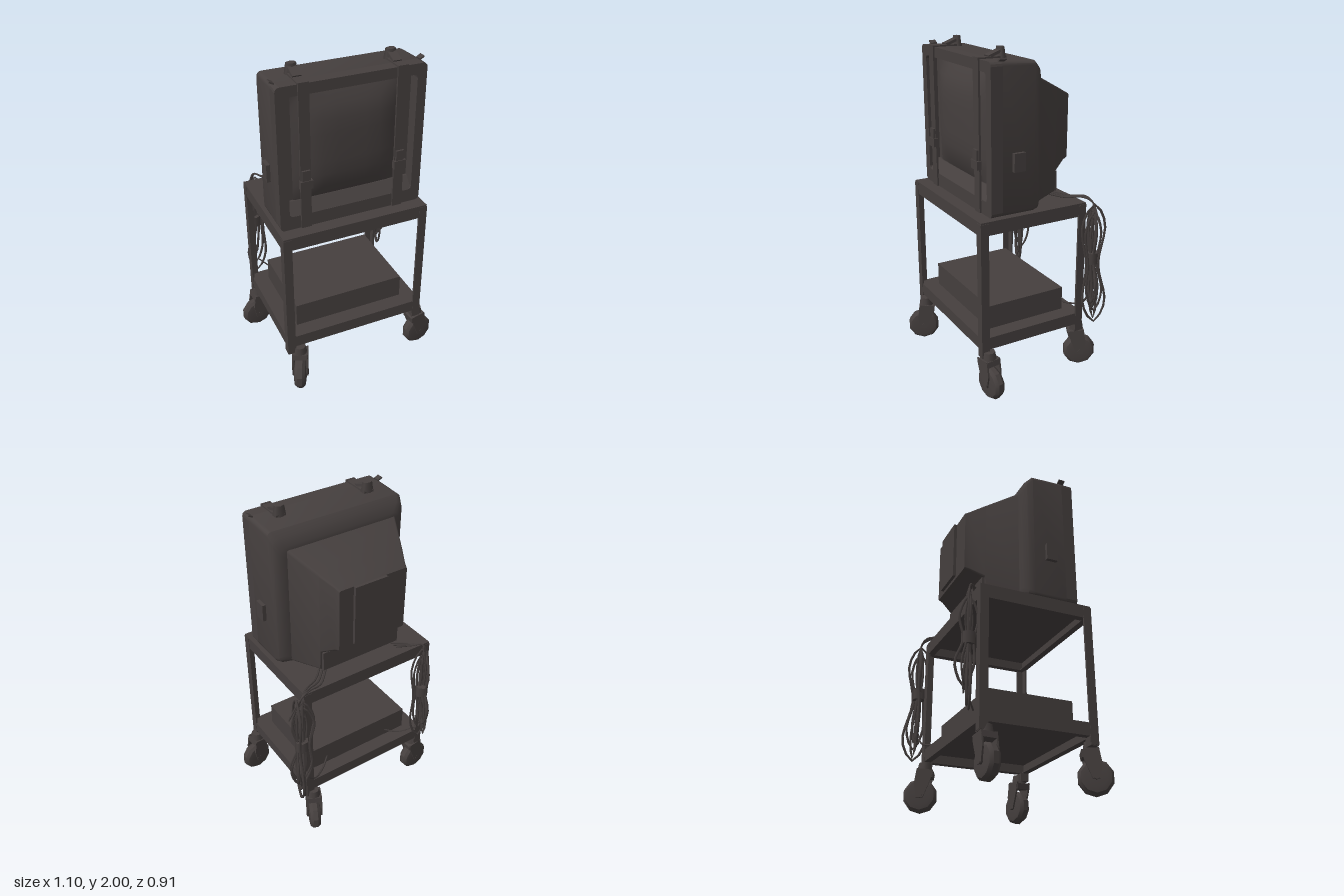
import * as THREE from 'three';
import { toCreasedNormals } from 'three/addons/utils/BufferGeometryUtils.js';

const mat = new THREE.MeshStandardMaterial({ color: 0x453f3e });
mat.name = 'dark grey';
const openMat = new THREE.MeshStandardMaterial({ color: 0x453f3e, side: THREE.DoubleSide });
openMat.name = 'dark grey';

function add(parent, name, geo, x = 0, y = 0, z = 0, material = mat) {
  const m = new THREE.Mesh(geo, material);
  m.name = name;
  m.position.set(x, y, z);
  parent.add(m);
  return m;
}

// Box given by its ranges on each axis
function span(parent, name, x0, x1, y0, y1, z0, z1) {
  return add(parent, name, new THREE.BoxGeometry(x1 - x0, y1 - y0, z1 - z0),
    (x0 + x1) / 2, (y0 + y1) / 2, (z0 + z1) / 2);
}

// Rounded rectangle, counter-clockwise
function section(hw, y0, y1, r) {
  const pts = [];
  [[hw - r, y0 + r, -1], [hw - r, y1 - r, 0], [-hw + r, y1 - r, 1], [-hw + r, y0 + r, 2]].forEach(([x, y, q]) => {
    for (let i = 0; i <= 3; i++) {
      const a = (q + i / 3) * Math.PI / 2;
      pts.push(new THREE.Vector2(x + r * Math.cos(a), y + r * Math.sin(a)));
    }
  });
  return pts;
}

// Closed skin through sections [z, halfWidth, bottom, top, radius], front to back
function loft(rings) {
  const pos = [], idx = [], n = 16;
  rings.forEach(([z, hw, y0, y1, r]) => section(hw, y0, y1, r).forEach(p => pos.push(p.x, p.y, z)));
  for (let i = 0; i < rings.length - 1; i++) {
    for (let j = 0; j < n; j++) {
      const a = i * n + j, b = i * n + (j + 1) % n, c = b + n, d = a + n;
      idx.push(a, d, b, b, d, c);
    }
  }
  const last = (rings.length - 1) * n;
  for (let j = 1; j < n - 1; j++) idx.push(0, j, j + 1, last, last + j + 1, last + j);
  const g = new THREE.BufferGeometry();
  g.setAttribute('position', new THREE.Float32BufferAttribute(pos, 3));
  g.setIndex(idx);
  return toCreasedNormals(g, 0.6);
}

function cable(parent, name, pts, closed = false, r = 0.006) {
  const curve = new THREE.CatmullRomCurve3(pts.map(p => new THREE.Vector3(...p)), closed);
  return add(parent, name, new THREE.TubeGeometry(curve, closed ? 28 : 14, r, 4, closed));
}

// Shelf: rim on four sides with a plate set near the top
function shelf(parent, name, y0, y1) {
  const g = new THREE.Group();
  g.name = name;
  const X = 0.445, Z = 0.345, t = 0.015;
  for (const s of [-1, 1]) {
    add(g, 'longRim', new THREE.BoxGeometry(2 * X, y1 - y0, t), 0, (y0 + y1) / 2, s * (Z - t / 2));
    add(g, 'sideRim', new THREE.BoxGeometry(t, y1 - y0, 2 * Z), s * (X - t / 2), (y0 + y1) / 2, 0);
    add(g, 'longLip', new THREE.BoxGeometry(2 * X, 0.008, 0.04), 0, y0 + 0.004, s * (Z - 0.02));
    add(g, 'sideLip', new THREE.BoxGeometry(0.04, 0.008, 2 * Z), s * (X - 0.02), y0 + 0.004, 0);
  }
  add(g, 'shelfPlate', new THREE.BoxGeometry(2 * X, 0.015, 2 * Z), 0, y1 - 0.0075, 0);
  parent.add(g);
}

// Caster whose wheel rolls along its own x
function caster(parent, x, z, heading) {
  const g = new THREE.Group();
  g.name = 'caster';
  const wheel = add(g, 'wheel', toCreasedNormals(new THREE.LatheGeometry([
    [0, -0.032], [0.06, -0.036], [0.085, -0.032], [0.1, -0.014], [0.1, 0.014],
    [0.085, 0.032], [0.06, 0.036], [0, 0.032]].map(p => new THREE.Vector2(...p)), 10), 0.6), 0, 0.105, 0, openMat);
  wheel.rotation.x = Math.PI / 2;
  const fork = new THREE.Shape([[-0.075, 0.25], [-0.06, 0.19], [-0.02, 0.09], [0.02, 0.09], [0.035, 0.17],
    [0.02, 0.26]].map(p => new THREE.Vector2(...p)));
  for (const s of [-1, 1]) {
    add(g, 'forkArm', new THREE.ExtrudeGeometry(fork, { depth: 0.01, bevelEnabled: false }), 0, 0, s * 0.043 - 0.005);
  }
  const hood = add(g, 'forkHood', new THREE.BoxGeometry(0.1, 0.035, 0.09), -0.025, 0.232, 0);
  hood.rotation.z = 0.15;
  add(g, 'swivel', new THREE.CylinderGeometry(0.035, 0.045, 0.06, 8), -0.02, 0.27, 0);
  add(g, 'axle', new THREE.CylinderGeometry(0.018, 0.018, 0.1, 6), 0, 0.105, 0).rotation.x = Math.PI / 2;
  g.position.set(x, 0, z);
  g.rotation.y = heading;
  parent.add(g);
}

// Hanging coil: long loops pinched by a wrap at mid height
function coil(parent, name, x, z, top, bottom, yaw, spread, count) {
  const g = new THREE.Group();
  g.name = name;
  for (let i = 0; i < count; i++) {
    const k = Math.sin(i * 2.4 + 1), a = yaw + k * 0.9, w = spread * (0.55 + 0.45 * Math.cos(i * 1.7));
    const hi = top - 0.07 * Math.abs(Math.sin(i * 1.3)), lo = bottom + 0.13 * Math.abs(Math.sin(i * 1.9));
    const off = 0.02 * Math.cos(i * 2.1), mid = (hi + lo) / 2;
    const p = (d, y, e = 0) => [x + Math.cos(a) * (d + e) + off, y, z - Math.sin(a) * (d + e) + off * 0.5];
    cable(g, 'cableLoop', [p(0, hi), p(w, hi - 0.12), p(w * 0.55, mid), p(w, lo + 0.12, 0.02), p(0, lo, 0.025),
      p(-w, lo + 0.12, 0.02), p(-w * 0.55, mid), p(-w, hi - 0.12)], true, 0.0075);
  }
  add(g, 'cableWrap', new THREE.CylinderGeometry(0.04, 0.04, 0.07, 7), x, (top + bottom) / 2 + 0.04, z);
  parent.add(g);
}

export function createModel() {
  const root = new THREE.Group();
  root.name = 'televisionCart';
  const main = new THREE.Group();
  main.name = 'cartAndTelevision';
  main.position.set(-0.05, 0, 0.03);
  main.rotation.y = -0.08;
  root.add(main);

  // Cart
  shelf(main, 'topShelf', 1.015, 1.095);
  shelf(main, 'lowerShelf', 0.31, 0.385);
  for (const sx of [-1, 1]) for (const sz of [-1, 1]) {
    add(main, 'legFrontFlange', new THREE.BoxGeometry(0.05, 0.82, 0.012), sx * 0.422, 0.675, sz * 0.341);
    add(main, 'legSideFlange', new THREE.BoxGeometry(0.012, 0.82, 0.05), sx * 0.441, 0.675, sz * 0.322);
    add(main, 'legFoot', new THREE.BoxGeometry(0.05, 0.05, 0.05), sx * 0.42, 0.285, sz * 0.32);
  }
  span(main, 'playerBox', -0.35, 0.35, 0.385, 0.53, -0.26, 0.25);

  // Casters, each swivelled its own way
  caster(root, -0.455, 0.355, -2.1);
  caster(root, 0.39, 0.365, 0.05);
  caster(root, -0.46, -0.3, Math.PI);
  caster(root, 0.385, -0.295, 1.05);

  // Television housing
  const tv = new THREE.Group();
  tv.name = 'television';
  main.add(tv);
  add(tv, 'frontHousing', loft([[0.2, 0.43, 1.1, 1.945, 0.025], [0, 0.43, 1.1, 1.935, 0.025],
    [-0.035, 0.42, 1.1, 1.905, 0.04], [-0.06, 0.39, 1.11, 1.86, 0.05], [-0.065, 0.35, 1.11, 1.84, 0.05]]));
  add(tv, 'rearHousing', loft([[-0.04, 0.365, 1.11, 1.85, 0.015], [-0.24, 0.272, 1.13, 1.752, 0.012],
    [-0.245, 0.27, 1.25, 1.75, 0.012], [-0.325, 0.23, 1.3, 1.71, 0.01], [-0.355, 0.22, 1.31, 1.695, 0.01]]));
  span(tv, 'rearBase', -0.26, 0.26, 1.13, 1.25, -0.26, -0.2);
  span(tv, 'rearPanel', -0.08, 0.13, 1.33, 1.695, -0.373, -0.35);

  // Bezel around the screen
  const bezel = new THREE.Shape(section(0.43, 1.1, 1.945, 0.025));
  bezel.holes.push(new THREE.Path(section(0.375, 1.18, 1.885, 0.02).reverse()));
  add(tv, 'bezel', new THREE.ExtrudeGeometry(bezel, { depth: 0.07, bevelEnabled: false }), 0, 0, 0.2);
  const ramp = new THREE.Shape([[0.2, 1.17], [0.268, 1.17], [0.268, 1.18], [0.215, 1.245], [0.2, 1.245]]
    .map(p => new THREE.Vector2(-p[0], p[1])).reverse());
  const sill = add(tv, 'lowerSill', new THREE.ExtrudeGeometry(ramp, { depth: 0.75, bevelEnabled: false }), -0.375, 0, 0);
  sill.rotation.y = Math.PI / 2;

  // Bulging screen
  const glass = new THREE.PlaneGeometry(0.66, 0.64, 8, 8), gp = glass.attributes.position;
  for (let i = 0; i < gp.count; i++) {
    const u = gp.getX(i) / 0.33, v = gp.getY(i) / 0.32;
    gp.setZ(i, 0.062 * (1 - u ** 4) * (1 - v ** 4));
  }
  glass.computeVertexNormals();
  add(tv, 'screen', glass, 0, 1.555, 0.205);

  // Straps with buckles, and side latches
  for (const s of [-1, 1]) {
    const x = s * 0.28, zb = s < 0 ? 0.11 : 0.13;
    span(tv, 'frontStrap', x - 0.03, x + 0.03, 1.1, 1.955, 0.268, 0.28);
    span(tv, 'topStrap', x - 0.03, x + 0.03, 1.94, 1.953, zb - 0.02, 0.28);
    span(tv, 'frontBuckle', x - 0.036, x + 0.036, 1.35, 1.4, 0.27, 0.297);
    span(tv, 'frontBuckleTab', x - 0.024, x + 0.024, 1.4, 1.46, 0.27, 0.292);
    const buckle = add(tv, 'topBuckle', new THREE.CylinderGeometry(0.03, 0.04, 0.06, 6), x, 1.97, zb);
    buckle.scale.z = 0.7;
    const tail = add(tv, 'topBuckleTail', new THREE.BoxGeometry(0.05, 0.016, 0.08), x, 1.966, zb + 0.045);
    tail.rotation.x = 0.35;
    span(tv, 'sideLatch', s * 0.435 - 0.017, s * 0.435 + 0.017, 1.35, 1.455, 0.07, 0.14);
    const corner = add(tv, 'cornerTab', new THREE.BoxGeometry(0.03, 0.008, 0.04), s * 0.425, 1.952, 0.2);
    corner.rotation.z = s * 0.5;
  }

  // Coiled cables at the rear corners
  coil(root, 'rightCableCoil', 0.465, -0.3, 1.1, 0.34, 0.5, 0.07, 8);
  coil(root, 'leftCableCoil', -0.4, -0.385, 1.09, 0.38, 2.1, 0.055, 7);

  // Loose leads across the shelves
  for (let i = 0; i < 3; i++) {
    const e = i * 0.025;
    cable(root, 'rightLead', [[0.2, 1.12, -0.14 - e], [0.3, 1.105, -0.22 - e], [0.4, 1.125, -0.27 - e / 2],
      [0.46, 1.1, -0.3], [0.49 + e, 0.98, -0.29]]);
    cable(root, 'leftLead', [[-0.25, 1.12, -0.24 - e], [-0.34, 1.11, -0.3 - e / 2], [-0.39, 1.12, -0.37],
      [-0.42 + e, 1.0, -0.4]]);
  }
  cable(root, 'lowerRightLead', [[0.2, 0.44, -0.2], [0.28, 0.4, -0.25], [0.38, 0.42, -0.3], [0.45, 0.5, -0.3]]);
  cable(root, 'lowerLeftLead', [[-0.2, 0.44, -0.22], [-0.3, 0.4, -0.29], [-0.39, 0.46, -0.38]]);
  return root;
}
